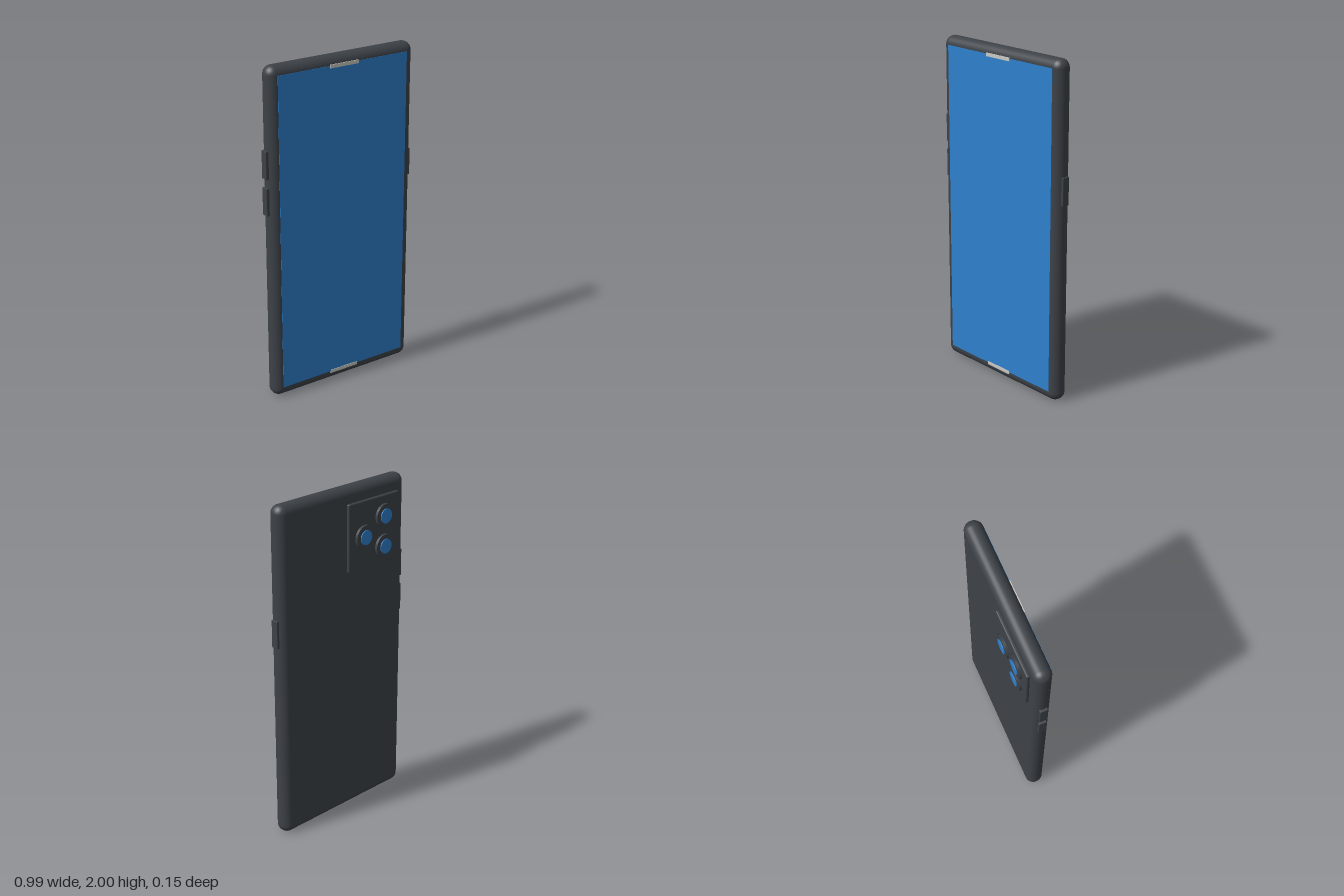
import * as THREE from 'three';
import { RoundedBoxGeometry } from 'three/addons/geometries/RoundedBoxGeometry.js';

function flat(name, color) {
  const m = new THREE.MeshStandardMaterial({ color });
  m.name = name;
  return m;
}

export function createModel() {
  const phone = new THREE.Group();
  phone.name = 'phone';
  const graphite = flat('graphite', 0x3d4248);
  const blue = flat('blue glass', 0x2e80cc);
  const grey = flat('light grey', 0xc8c8c4);

  const add = (name, geometry, material, x, y, z) => {
    const mesh = new THREE.Mesh(geometry, material);
    mesh.name = name;
    mesh.position.set(x, y, z);
    phone.add(mesh);
    return mesh;
  };

  // Rounded case
  add('body', new RoundedBoxGeometry(0.966, 2, 0.106, 8, 0.051), graphite, 0, 1, 0.015);

  // Screen with a speaker slot at each end
  add('screen', new THREE.BoxGeometry(0.86, 1.89, 0.004), blue, 0, 1.005, 0.068);
  for (const [name, y] of [['topSpeaker', 1.946], ['bottomSpeaker', 0.059]])
    add(name, new THREE.BoxGeometry(0.19, 0.02, 0.008), grey, 0, y, 0.069);

  // Side buttons
  const buttons = [['volumeUpButton', -0.483, 1.445], ['volumeDownButton', -0.483, 1.23], ['powerButton', 0.48, 1.27]];
  for (const [name, x, y] of buttons)
    add(name, new RoundedBoxGeometry(0.026, 0.164, 0.045, 2, 0.003), graphite, x, y, 0.015);

  // Raised camera plate on the back
  add('cameraPlate', new RoundedBoxGeometry(0.4, 0.4, 0.022, 4, 0.008), graphite, -0.21, 1.71, -0.045);

  // Three lenses: a ring flared from the plate and a glass disc
  const ringShape = new THREE.CylinderGeometry(0.07, 0.07, 0.018, 40);
  const footShape = new THREE.CylinderGeometry(0.07, 0.06, 0.006, 40, 1, true);
  const glassShape = new THREE.CylinderGeometry(0.043, 0.043, 0.008, 40);
  for (const s of [ringShape, footShape, glassShape]) s.rotateX(-Math.PI / 2);
  for (const [x, y] of [[-0.29, 1.79], [-0.29, 1.61], [-0.13, 1.70]]) {
    add('lensFoot', footShape, graphite, x, y, -0.055);
    add('lensRing', ringShape, graphite, x, y, -0.063);
    add('lensGlass', glassShape, blue, x, y, -0.074);
  }
  return phone;
}
